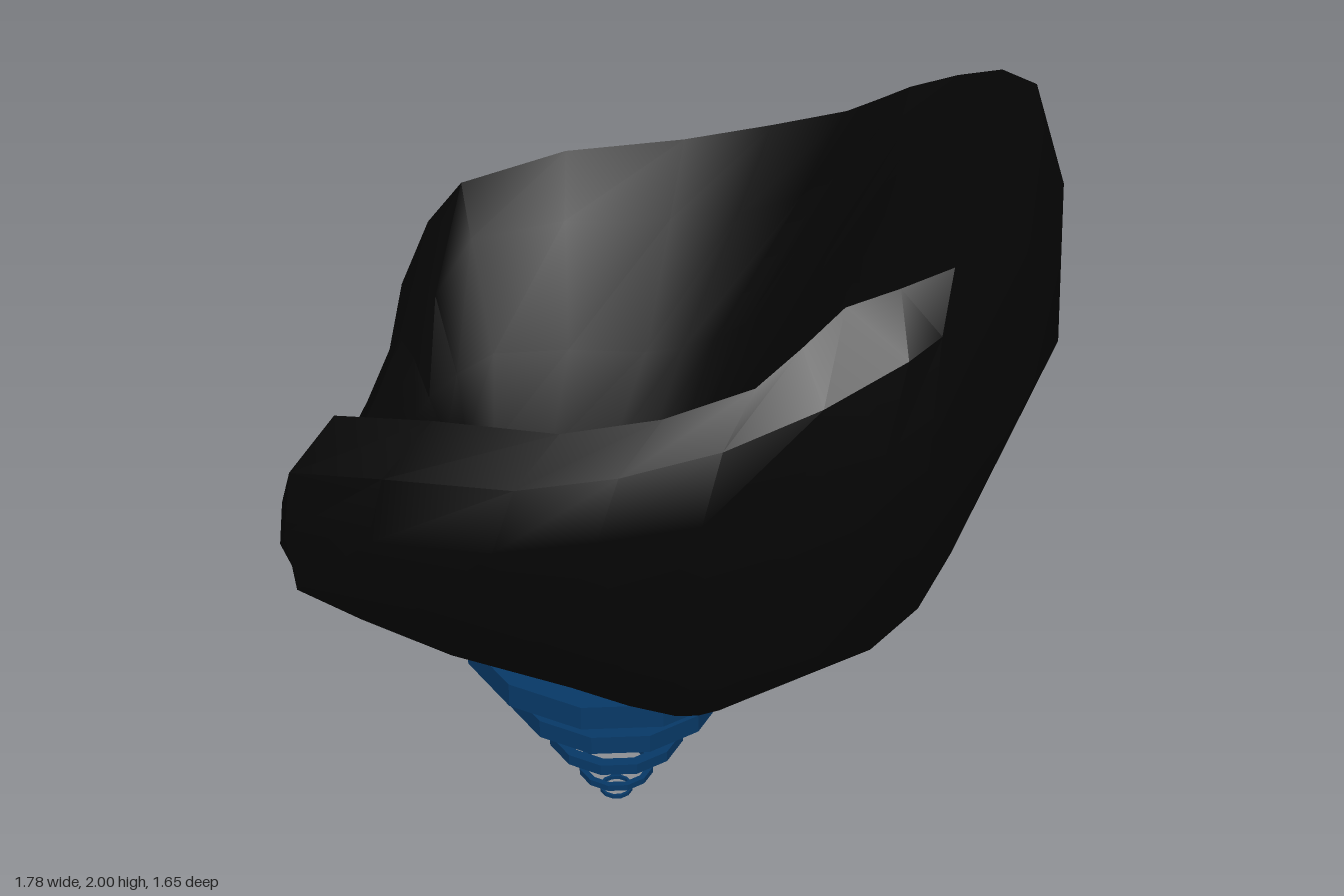
import * as THREE from 'three';
import { toCreasedNormals } from 'three/addons/utils/BufferGeometryUtils.js';

const black = new THREE.MeshStandardMaterial({ color: 0x050505 });
const blue = new THREE.MeshStandardMaterial({ color: 0x073866, flatShading: true });
const SIDES = 28;

// Half loop (front centre, lip corner, arm front, mid arm, rear arm, back shoulder,
// back corner, back centre) as [side, height, forward]; mirrored into a full loop.
function loop(half) {
  const left = half.map(([x, y, z]) => new THREE.Vector3(x, y, z));
  const right = left.slice(1, -1).reverse().map(p => new THREE.Vector3(-p.x, p.y, p.z));
  const curve = new THREE.CatmullRomCurve3([...left, ...right], true, 'centripetal');
  return Array.from({ length: SIDES }, (_, i) => curve.getPoint(i / SIDES));
}
// Closing loop collapsed onto the centre line, from [height, forward] pairs
const spine = pairs => loop(pairs.map(([y, z]) => [0, y, z]));

// Skin between successive loops
function loft(loops) {
  const index = [];
  for (let r = 0; r < loops.length - 1; r++) {
    for (let i = 0; i < SIDES; i++) {
      const a = r * SIDES + i, b = r * SIDES + (i + 1) % SIDES;
      index.push(a, b, b + SIDES, a, b + SIDES, a + SIDES);
    }
  }
  const g = new THREE.BufferGeometry().setFromPoints(loops.flat());
  g.setIndex(index);
  return toCreasedNormals(g, 0.6);
}

function addMesh(parent, name, geometry, material) {
  const m = new THREE.Mesh(geometry, material);
  m.name = name;
  parent.add(m);
}

export function createModel() {
  const model = new THREE.Group();
  model.name = 'hoverChair';
  const chair = new THREE.Group();
  chair.name = 'chair';
  chair.rotation.y = -Math.PI / 3;
  chair.position.set(-0.01, 0, -0.017);
  model.add(chair);

  // Rim: low at the seat front, along the arms, stepping up to the backrest
  const rim = loop([[0, 0.99, 0.70], [0.36, 1.05, 0.695], [0.53, 1.41, 0.57], [0.66, 1.52, 0.04],
    [0.62, 1.66, -0.36], [0.50, 1.80, -0.52], [0.45, 1.89, -0.73], [0, 2.0, -0.855]]);

  // Outer shell from the underside up to the rim
  const keel = spine([[0.69, 0.15], [0.685, 0.12], [0.68, 0.08], [0.66, 0], [0.63, -0.15],
    [0.62, -0.2], [0.62, -0.23], [0.62, -0.26]]);
  const under = loop([[0, 0.69, 0.22], [0.12, 0.69, 0.20], [0.22, 0.68, 0.15], [0.25, 0.66, 0],
    [0.19, 0.62, -0.22], [0.20, 0.62, -0.28], [0.13, 0.62, -0.33], [0, 0.62, -0.34]]);
  const belly = loop([[0, 0.79, 0.60], [0.30, 0.79, 0.59], [0.45, 0.80, 0.57], [0.51, 0.73, 0.06],
    [0.50, 0.68, -0.18], [0.46, 0.68, -0.27], [0.36, 0.72, -0.40], [0, 0.73, -0.48]]);
  const lower = loop([[0, 0.86, 0.71], [0.36, 0.87, 0.70], [0.55, 0.94, 0.68], [0.68, 0.95, 0.10],
    [0.64, 0.95, -0.27], [0.57, 0.96, -0.50], [0.41, 0.87, -0.60], [0, 0.86, -0.73]]);
  const widest = loop([[0, 0.91, 0.745], [0.40, 0.94, 0.74], [0.57, 1.11, 0.69], [0.775, 1.28, 0.16],
    [0.73, 1.38, -0.275], [0.58, 1.39, -0.61], [0.42, 1.45, -0.79], [0, 1.47, -0.93]]);
  const upper = loop([[0, 0.96, 0.735], [0.38, 1.0, 0.73], [0.565, 1.27, 0.67], [0.74, 1.42, 0.12],
    [0.70, 1.55, -0.31], [0.55, 1.72, -0.66], [0.44, 1.79, -0.765], [0, 1.86, -0.91]]);
  addMesh(chair, 'outerShell', loft([keel, under, belly, lower, widest, upper, rim]), black);

  // Seat hollow: arm sides sloping into a valley, and a leaning backrest
  const inner = loop([[0, 1.01, 0.65], [0.26, 1.06, 0.63], [0.42, 1.32, 0.52], [0.49, 1.39, 0.04],
    [0.45, 1.51, -0.28], [0.40, 1.71, -0.45], [0.26, 1.80, -0.53], [0, 1.81, -0.55]]);
  const cushion = loop([[0, 1.01, 0.58], [0.14, 1.03, 0.56], [0.23, 1.12, 0.42], [0.25, 1.16, 0.05],
    [0.25, 1.22, -0.12], [0.24, 1.32, -0.25], [0.16, 1.36, -0.31], [0, 1.36, -0.33]]);
  const valley = spine([[1.01, 0.52], [1.015, 0.48], [1.02, 0.36], [1.03, 0.08], [1.06, -0.08],
    [1.11, -0.16], [1.16, -0.2], [1.20, -0.23]]);
  addMesh(chair, 'seatHollow', loft([rim, inner, cushion, valley]), black);

  // Shrinking hover rings below: [outer radius, bottom, top]
  const rings = new THREE.Group();
  rings.name = 'hoverRings';
  rings.position.z = 0.072;
  chair.add(rings);
  [[0.373, 0.495, 0.56], [0.272, 0.337, 0.387], [0.172, 0.187, 0.217],
    [0.096, 0.071, 0.088], [0.042, 0, 0.01]].forEach(([r, y0, y1]) => {
    const q = r * 0.84;
    const profile = [[r, y0], [r, y1], [q, y1], [q, y0], [r, y0]].map(p => new THREE.Vector2(...p));
    addMesh(rings, 'hoverRing', new THREE.LatheGeometry(profile, 12), blue);
  });
  return model;
}
